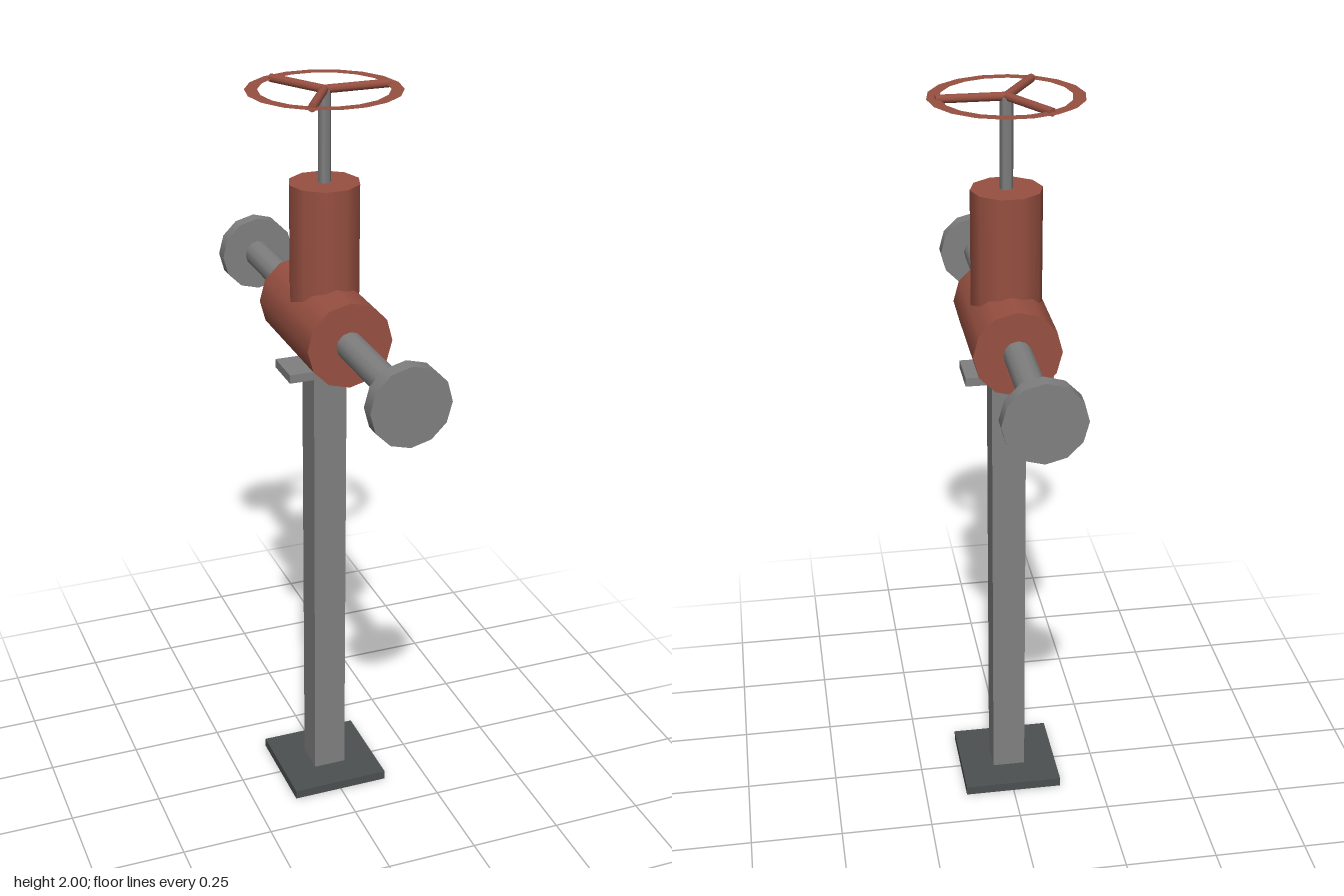
import * as THREE from 'three';

export function createModel() {
  const model = new THREE.Group();
  model.name = 'valveOnPost';

  const material = (name, color, side = THREE.FrontSide) => {
    const m = new THREE.MeshStandardMaterial({ color, side });
    m.name = name;
    return m;
  };
  const steel = material('steelGrey', 0x808080);
  const dark = material('darkGrey', 0x4c5050);
  const red = material('rustRed', 0x985041, THREE.DoubleSide);

  const add = (name, geometry, mat, x = 0, y = 0, z = 0, parent = model) => {
    const mesh = new THREE.Mesh(geometry, mat);
    mesh.name = name;
    mesh.position.set(x, y, z);
    parent.add(mesh);
    return mesh;
  };
  // Cylinders with a corner on the x axis: upright, or lying along z
  const upright = (r, h, sides) => new THREE.CylinderGeometry(r, r, h, sides).rotateY(Math.PI / 2);
  const alongZ = (r, l, sides) => upright(r, l, sides).rotateX(Math.PI / 2);

  // Post with its foot and saddle plate
  add('basePlate', new THREE.BoxGeometry(0.27, 0.025, 0.27), dark, 0, 0.0125);
  add('post', new THREE.BoxGeometry(0.09, 1.225, 0.09), steel, 0, 0.6375);
  add('saddlePlate', new THREE.BoxGeometry(0.23, 0.023, 0.114), steel, 0, 1.2615);

  // Valve body and bonnet
  const axisY = 1.388;
  add('valveBody', alongZ(0.113, 0.37, 12), red, 0, axisY);
  add('bonnet', upright(0.092, 0.367, 10), red, 0, 1.5735);

  // Pipe stubs and end flanges, front and back
  for (const [side, s] of [['front', 1], ['back', -1]]) {
    add(side + 'Pipe', alongZ(0.037, 0.36, 12), steel, 0, axisY, s * 0.36);
    add(side + 'Flange', alongZ(0.103, 0.04, 12), steel, 0, axisY, s * 0.556);
  }

  // Stem and handwheel: a flat rim on three round spokes
  const wheelY = 1.989;
  add('stem', upright(0.017, 0.235, 6), steel, 0, 1.8695);
  const wheel = new THREE.Group();
  wheel.name = 'handwheel';
  wheel.position.y = wheelY;
  model.add(wheel);
  add('rim', new THREE.RingGeometry(0.163, 0.195, 18).rotateX(-Math.PI / 2), red, 0, 0, 0, wheel);
  for (let i = 0; i < 3; i++) {
    const spoke = new THREE.CylinderGeometry(0.011, 0.011, 0.173, 8)
      .rotateZ(Math.PI / 2).translate(0.0865, 0, 0);
    add('spoke' + (i + 1), spoke, red, 0, 0, 0, wheel).rotation.y = (i * Math.PI * 2) / 3;
  }
  return model;
}
